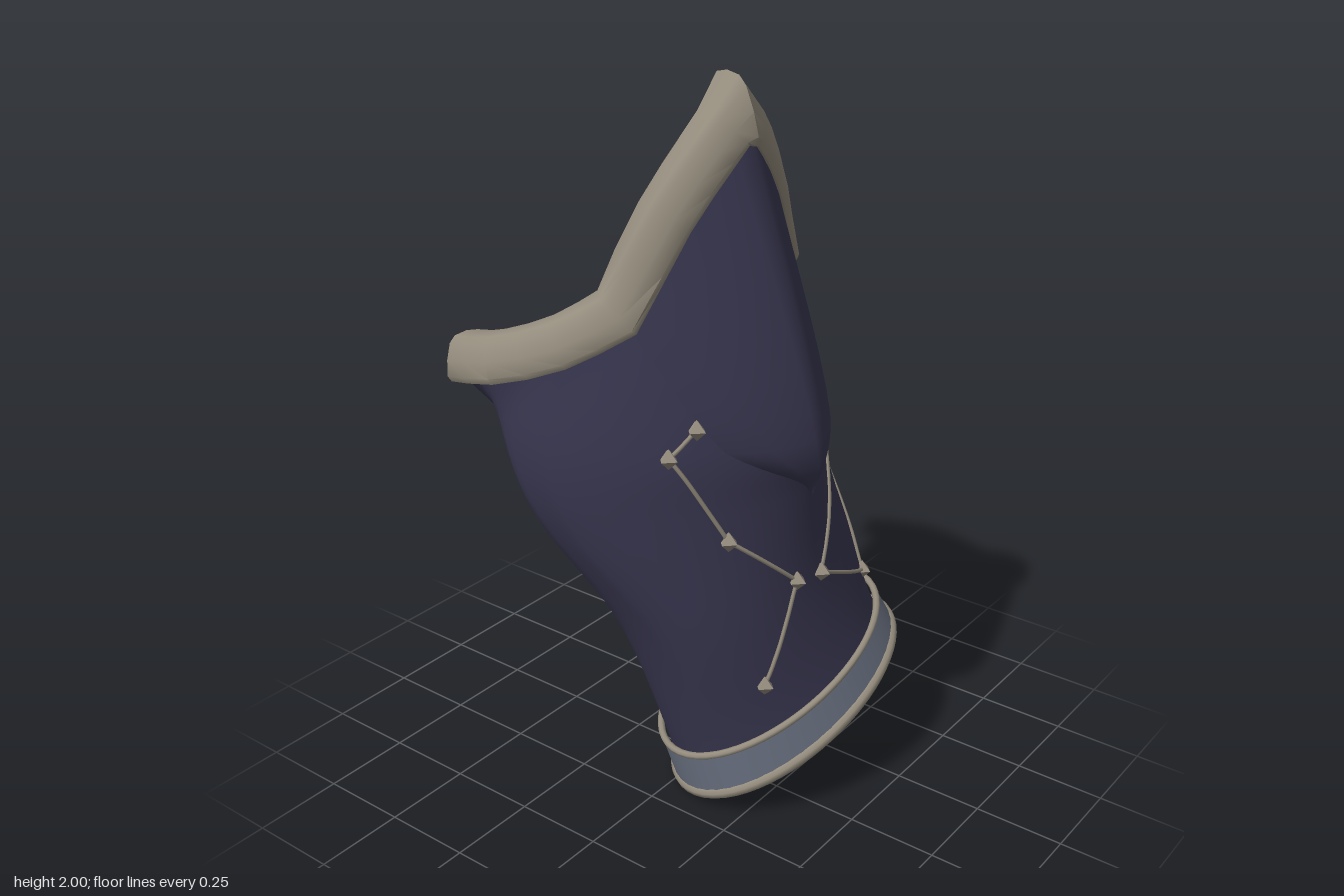
import * as THREE from 'three';
import { toCreasedNormals } from 'three/addons/utils/BufferGeometryUtils.js';

const V = (x, y, z) => new THREE.Vector3(x, y, z);

// Grid surface through fn(row, col); closed wraps the columns
function loft(rows, cols, fn, closed) {
  const pos = [], idx = [], n = closed ? cols : cols + 1;
  for (let i = 0; i <= rows; i++)
    for (let j = 0; j < n; j++) pos.push(...fn(i, j).toArray());
  for (let i = 0; i < rows; i++)
    for (let j = 0; j < cols; j++) {
      const k = (j + 1) % n, a = i * n + j, b = i * n + k, c = a + n, d = b + n;
      idx.push(a, c, b, b, c, d);
    }
  const g = new THREE.BufferGeometry();
  g.setAttribute('position', new THREE.Float32BufferAttribute(pos, 3));
  g.setIndex(idx);
  g.computeVertexNormals();
  return g;
}

// Centre line of the upper rim: four smooth arcs meeting at the shoulders and the peak
const arcs = [
  [V(-0.41, 1.28, 0.462), V(-0.27, 1.315, 0.482), V(-0.12, 1.37, 0.425), V(-0.01, 1.445, 0.34)],
  [V(-0.01, 1.445, 0.34), V(0.06, 1.67, 0.24), V(0.115, 1.82, 0.14), V(0.142, 1.905, 0.07)],
  [V(0.142, 1.905, 0.07), V(0.12, 1.81, -0.03), V(0.07, 1.66, -0.165), V(0.01, 1.475, -0.29)],
  [V(0.01, 1.475, -0.29), V(-0.1, 1.43, -0.365), V(-0.25, 1.39, -0.42), V(-0.44, 1.33, -0.395)],
];
const STEPS = 6;
const rimPath = arcs.flatMap((a, k) =>
  new THREE.CatmullRomCurve3(a).getPoints(STEPS).slice(k ? 1 : 0));
const LAST = rimPath.length - 1;

// Upper edge of the leather, ending in the plain open side
const topEdge = rimPath.map(p => V(p.x, p.y, p.z * 1.045));
topEdge[0] = V(-0.375, 1.23, 0.49);
topEdge[LAST] = V(-0.385, 1.28, -0.44);
const sideMid = V(-0.32, 1.25, 0.02);
const PHI = 2.36;

function topPoint(phi) {
  if (Math.abs(phi) <= PHI) {
    const s = (PHI - phi) / (2 * PHI) * LAST, i = Math.min(LAST - 1, Math.floor(s));
    return topEdge[i].clone().lerp(topEdge[i + 1], s - i);
  }
  const u = (Math.abs(phi) - PHI) / (Math.PI - PHI), end = topEdge[phi > 0 ? 0 : LAST];
  const p = end.clone().lerp(sideMid, u);
  p.x = THREE.MathUtils.lerp(end.x, sideMid.x, Math.sin(u * Math.PI / 2));
  return p;
}

// Cross-sections: extents, widest x, height, tilt, roundness of each half, corner flare
const rings = [
  { x: [-0.11, 0.42], z: [-0.505, 0.18], cx: 0.16, y: 0.19, tx: 0.37, tz: -0.41, p: 1, q: 1, flare: 0 },
  { x: [-0.14, 0.385], z: [-0.47, 0.205], cx: 0.125, y: 0.3, tx: 0.32, tz: -0.38, p: 1, q: 1, flare: 0 },
  { x: [-0.2, 0.33], z: [-0.435, 0.31], cx: 0.07, y: 0.62, tx: 0.2, tz: -0.18, p: 1.08, q: 0.8, flare: 0 },
  { x: [-0.28, 0.325], z: [-0.475, 0.455], cx: -0.12, y: 0.92, tx: 0.05, tz: -0.05, p: 1.3, q: 0.58, flare: 0.25 },
  { x: [-0.305, 0.335], z: [-0.475, 0.482], cx: -0.16, y: 1.1, tx: 0, tz: 0, p: 1.38, q: 0.46, flare: 0.45 },
];

function ringPoint(r, phi, scale = 1) {
  const c = Math.cos(phi), s = Math.sin(phi), e = c > 0 ? r.p : r.q;
  const hx = (c > 0 ? r.x[1] - r.cx : (r.cx - r.x[0]) * (1 + r.flare * s * s)) * scale;
  const cz = (r.z[0] + r.z[1]) / 2, hz = (r.z[1] - r.z[0]) / 2 * scale;
  const dx = Math.sign(c) * Math.abs(c) ** e * hx, dz = Math.sign(s) * Math.abs(s) ** e * hz;
  return V(r.cx + dx, r.y + r.tx * dx + r.tz * dz, cz + dz);
}

// Point on the sleeve: phi goes round from +x to +z, t goes from cuff to top
function sleevePoint(phi, t) {
  const pts = rings.map(r => ringPoint(r, phi));
  pts.push(topPoint(phi));
  return new THREE.CatmullRomCurve3(pts).getPoint(Math.min(1, t));
}

// Thick bevelled bar swept along the rim path, leaning inwards, with mitred corners
function rimGeometry() {
  const frames = rimPath.map((p, i) => {
    const a = rimPath[Math.max(0, i - 1)], b = rimPath[Math.min(LAST, i + 1)];
    const d1 = p.clone().sub(a).normalize(), d2 = b.clone().sub(p).normalize();
    const T = d1.clone().add(d2).normalize();
    const N = V(0, 1, 0).cross(T).normalize(), U = T.clone().cross(N);
    const h = 0.06 / Math.max(0.6, T.dot(i ? d1 : d2));
    return { p, N, U, h };
  });
  const sq = v => Math.sign(v) * Math.abs(v) ** 0.6;
  const g = loft(LAST + 2, 12, (i, j) => {
    const f = frames[Math.min(LAST, Math.max(0, i - 1))];
    if (i === 0 || i === LAST + 2) return f.p.clone();
    const a = -j / 12 * Math.PI * 2, up = f.h * sq(Math.sin(a));
    return f.p.clone().addScaledVector(f.N, 0.052 * sq(Math.cos(a)) + 0.3 * up)
      .addScaledVector(f.U, up);
  }, true);
  return toCreasedNormals(g, 0.8);
}

export function createModel() {
  const model = new THREE.Group();
  const material = (name, color) => {
    const m = new THREE.MeshStandardMaterial({ color });
    m.name = name;
    return m;
  };
  const leather = material('navy leather', 0x393750);
  const trim = material('pale bronze trim', 0x948c7d);
  const steel = material('blue grey band', 0x6b7383);
  const add = (name, geo, mat, parent = model) => {
    const m = new THREE.Mesh(geo, mat);
    m.name = name;
    parent.add(m);
    return m;
  };

  // Sleeve
  const SEG = 48, ROWS = 25;
  const angle = j => (j > SEG / 2 ? j - SEG : j) / SEG * Math.PI * 2;
  const sleeve = add('sleeve', loft(ROWS, SEG, (i, j) => sleevePoint(angle(j), i / ROWS), true), leather);

  // Hollowed lining that closes the top
  const floor = V(-0.12, 1.2, 0.02);
  add('lining', loft(8, SEG, (i, j) => {
    const edge = topPoint(angle(j)), r = i / 8 * 0.999;
    const p = edge.clone().lerp(floor, r);
    p.y = floor.y + (edge.y - floor.y) * (1 - r) ** 2;
    return p;
  }, true), leather);

  // Raised pointed plate with a centre ridge
  const plate = add('elbowPlate', loft(14, 12, (i, j) => {
    const t = 0.59 + 0.41 * i / 14, u = 1 - j / 6;
    const p = sleevePoint(-u * 1.18 * i / 14, t);
    const rise = Math.min(1, 0.3 + i / 4);
    const lift = Math.abs(u) === 1 ? 0 : (0.014 + 0.018 * (1 - Math.abs(u))) * rise;
    return p.addScaledVector(V(p.x + 0.25, 0, p.z).normalize(), lift);
  }, false), leather);

  add('upperRim', rimGeometry(), trim);

  // Cuff: closed end, band and its edgings
  const around = (r, scale, j) => ringPoint(r, angle(j), scale);
  add('cuffEnd', loft(1, SEG, (i, j) => around(rings[0], i ? 1 : 0.001, j), true), leather);
  add('cuffBand', loft(1, SEG, (i, j) => around(rings[i], 1.06, j), true), steel);
  const edging = (name, r, scale, radius) => {
    const pts = Array.from({ length: 32 }, (_, j) => ringPoint(r, j / 32 * Math.PI * 2, scale));
    const curve = new THREE.CatmullRomCurve3(pts, true);
    add(name, new THREE.TubeGeometry(curve, 64, radius, 8, true), trim);
  };
  edging('cuffEndRing', rings[0], 0.965, 0.025);
  edging('cuffLowerEdging', rings[0], 1.035, 0.018);
  edging('cuffUpperEdging', rings[1], 1.045, 0.01);

  // Star chains laid on the sleeve surface, placed along x
  const ray = new THREE.Raycaster();
  const snap = p => {
    ray.set(V(2, p.y, p.z), V(-1, 0, 0));
    const hit = ray.intersectObjects([sleeve, plate], false)[0];
    const q = hit && hit.point.distanceTo(p) < 0.12 ? hit.point.clone() : p.clone();
    return q.addScaledVector(V(0.8, 0, p.z).normalize(), 0.003);
  };
  const chain = (name, stars, links) => {
    const group = new THREE.Group();
    group.name = name;
    model.add(group);
    for (const p of stars)
      add('star', new THREE.OctahedronGeometry(0.028), trim, group).position.copy(snap(p));
    for (const [a, b] of links) {
      const pts = Array.from({ length: 9 }, (_, k) => snap(stars[a].clone().lerp(stars[b], k / 8)));
      add('link', new THREE.TubeGeometry(new THREE.CatmullRomCurve3(pts), 16, 0.006, 5), trim, group);
    }
  };
  chain('frontStars', [V(0.14, 1.16, 0.265), V(0.135, 1.09, 0.32), V(0.21, 0.85, 0.21),
    V(0.32, 0.69, 0.03), V(0.285, 0.41, 0.13)], [[0, 1], [1, 2], [2, 3], [3, 4]]);
  chain('backStars', [V(-0.16, 1.26, -0.455), V(0.14, 1.15, -0.3), V(0.09, 0.9, -0.395),
    V(0.27, 0.55, -0.345), V(0.34, 0.68, -0.065)], [[0, 1], [1, 2], [2, 3], [3, 4], [4, 1]]);

  return model;
}
